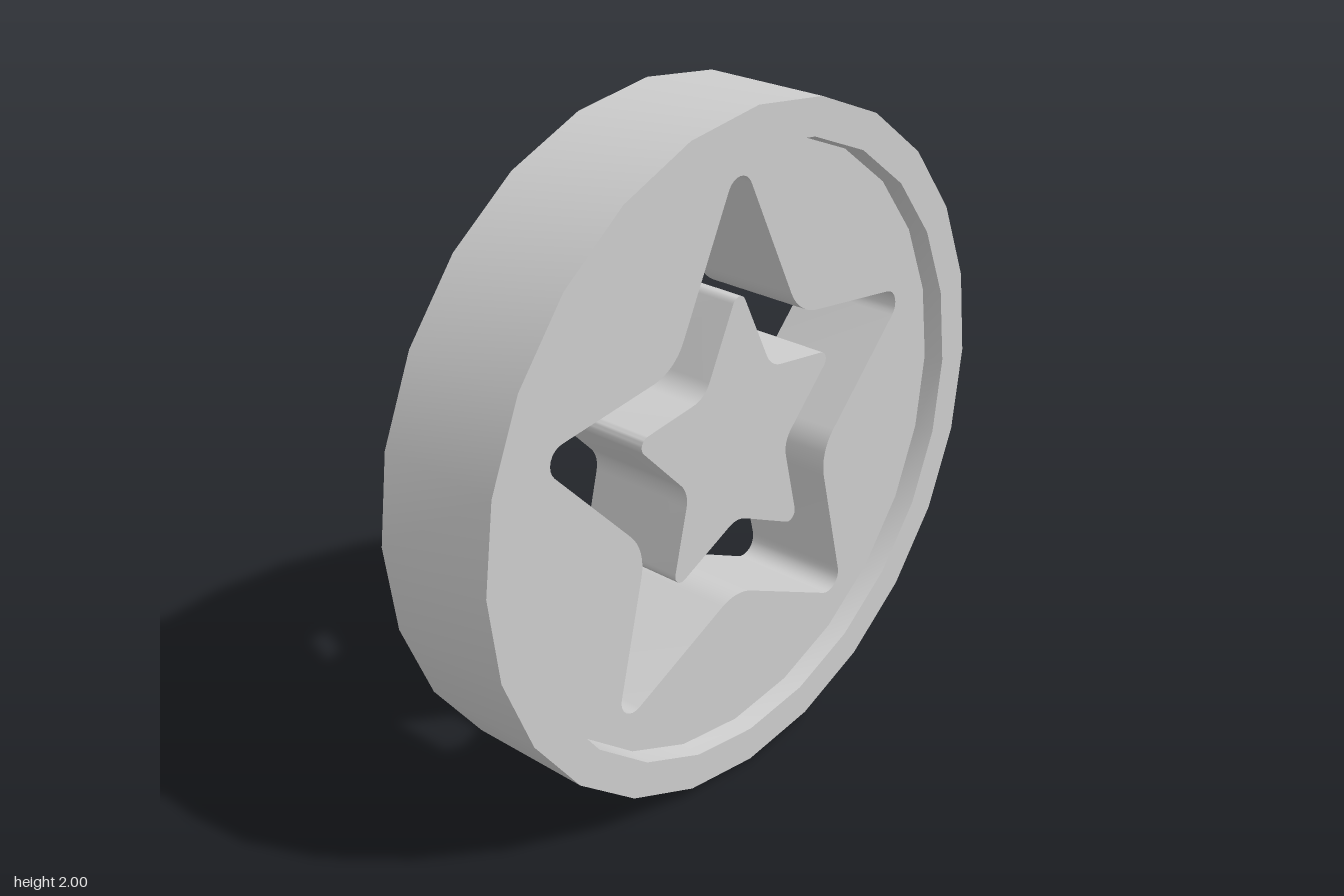
import * as THREE from 'three';
import { toCreasedNormals } from 'three/addons/utils/BufferGeometryUtils.js';

const BACK = -0.2, FLOOR = 0.14, FRONT = 0.2, SIDES = 24;

// Right half of the sharp star, from top tip to bottom notch, about the disc centre.
// Tips and notches alternate.
const HALF_STAR = [[0, 0.863], [0.257, 0.333], [0.77, 0.262], [0.375, -0.147], [0.505, -0.68], [0, -0.442]];

// Mirrored star outline with circular fillets at every tip and notch
function starPoints(scale, tipRadius, notchRadius) {
  const mirrored = HALF_STAR.slice(1, -1).reverse().map(([x, y]) => [-x, y]);
  const corners = [...HALF_STAR, ...mirrored].map(([x, y]) => new THREE.Vector2(x, y));
  const n = corners.length, steps = 8, points = [];
  corners.forEach((corner, i) => {
    const r = i % 2 ? notchRadius : tipRadius;
    const u = corners[(i + n - 1) % n].clone().sub(corner).normalize();
    const v = corners[(i + 1) % n].clone().sub(corner).normalize();
    const half = Math.acos(u.dot(v)) / 2;
    const centre = u.clone().add(v).normalize().multiplyScalar(r / Math.sin(half)).add(corner);
    const start = corner.clone().addScaledVector(u, r / Math.tan(half)).sub(centre);
    const end = corner.clone().addScaledVector(v, r / Math.tan(half)).sub(centre);
    const sweep = Math.atan2(start.cross(end), start.dot(end));
    for (let k = 0; k <= steps; k++) {
      const p = start.clone().rotateAround(new THREE.Vector2(), sweep * k / steps);
      points.push(p.add(centre).multiplyScalar(scale));
    }
  });
  return points;
}

function extrude(shape) {
  const geometry = new THREE.ExtrudeGeometry(shape, { depth: FLOOR - BACK, bevelEnabled: false });
  geometry.translate(0, 0, BACK);
  return toCreasedNormals(geometry, 0.6);
}

export function createModel() {
  const model = new THREE.Group();
  model.name = 'starDisc';
  const material = new THREE.MeshStandardMaterial({ color: 0xcccccc });
  const add = (name, geometry, y) => {
    const mesh = new THREE.Mesh(geometry, material);
    mesh.name = name;
    mesh.position.y = y;
    model.add(mesh);
  };

  // Outer rim with raised front lip and softened back edge
  const profile = [[0.985, BACK], [1, BACK + 0.015], [1, FRONT], [0.893, FRONT], [0.885, FLOOR]];
  const rim = new THREE.LatheGeometry(profile.map(([r, h]) => new THREE.Vector2(r, h)), SIDES);
  rim.rotateX(Math.PI / 2);
  add('rim', toCreasedNormals(rim, 0.6), 1);

  // Disc plate with the star cut through it
  const plate = new THREE.Shape(Array.from({ length: SIDES }, (_, i) => {
    const a = i / SIDES * Math.PI * 2;
    return new THREE.Vector2(0.985 * Math.cos(a), 0.985 * Math.sin(a));
  }));
  plate.holes.push(new THREE.Path(starPoints(1, 0.05, 0.15)));
  add('plate', extrude(plate), 1);

  // Loose smaller star standing in the opening
  add('innerStar', extrude(new THREE.Shape(starPoints(0.54, 0.05, 0.15))), 1.033);

  return model;
}
